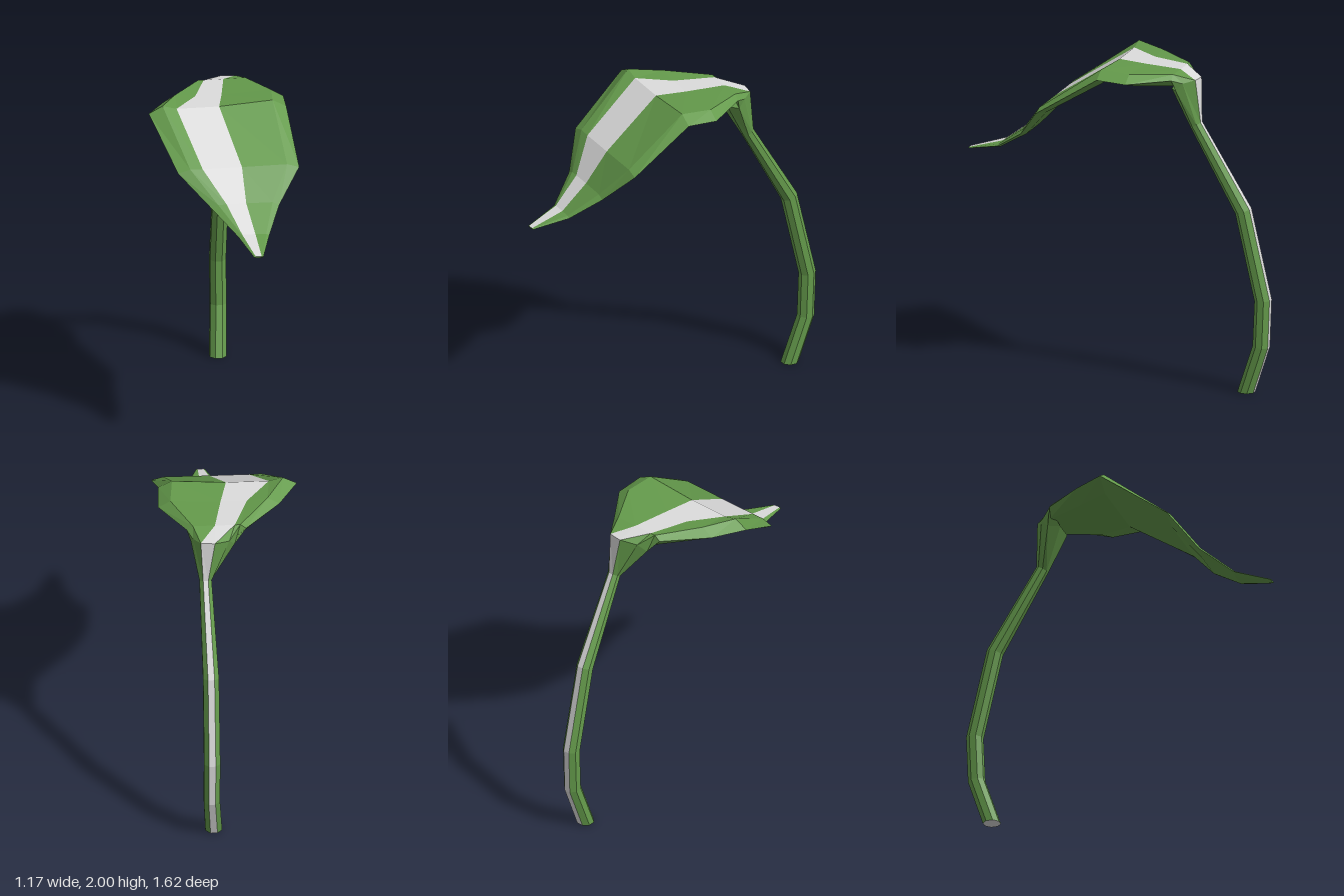
import * as THREE from 'three';

// Across the leaf (to its right) and along the leaf (towards the tip), on the ground plane
const W = [0.83, 0.557], D = [-0.557, 0.83];

// Turns local [across, along, height] triples into points around a centre
function place([x, y, z], pts) {
  return pts.map(([s, t, h]) => new THREE.Vector3(x + s * W[0] + t * D[0], y + h, z + s * W[1] + t * D[1]));
}

// Octagonal stem section; tilt leans the section with the stem
function stemRing(x, y, z, r, tilt) {
  const pts = [];
  for (let k = 0; k < 8; k++) {
    const a = Math.PI * (0.625 - k * 0.25);
    const n = Math.sin(a) * r;
    pts.push([Math.cos(a) * r, -n * Math.cos(tilt), n * Math.sin(tilt)]);
  }
  return place([x, y, z], pts);
}

// Leaf section: rib edges, shoulders, rims and underside
function leafRing(x, y, z, half, ribAt, ribHalf, rib, shoulder, thick) {
  const sh = half * 0.8;
  return place([x, y, z], [
    [ribAt - ribHalf, 0, rib], [ribAt + ribHalf, 0, rib],
    [sh, 0, shoulder], [half, 0, 0],
    [half * 0.6, -thick * 0.5, -thick], [-half * 0.6, -thick * 0.5, -thick],
    [-half, 0, 0], [-sh, 0, shoulder],
  ]);
}

// Joins neighbouring rings along the chosen sides
function loft(rings, sides) {
  const tris = [];
  for (let i = 0; i + 1 < rings.length; i++) {
    for (const k of sides) {
      const m = (k + 1) % 8;
      const a = rings[i][k], b = rings[i][m], c = rings[i + 1][m], d = rings[i + 1][k];
      tris.push(a, d, c, a, c, b);
    }
  }
  return tris;
}

// Closes a ring with a fan
function cap(ring, flip) {
  const tris = [];
  for (let k = 1; k < 7; k++) tris.push(ring[0], ring[flip ? k + 1 : k], ring[flip ? k : k + 1]);
  return tris;
}

export function createModel() {
  const group = new THREE.Group();
  const green = new THREE.MeshStandardMaterial({ name: 'leafGreen', color: 0x649a4b, flatShading: true });
  const pale = new THREE.MeshStandardMaterial({ name: 'paleGrey', color: 0xdcdcdc, flatShading: true });

  const add = (name, tris, material) => {
    const geo = new THREE.BufferGeometry().setFromPoints(tris);
    geo.computeVertexNormals();
    const mesh = new THREE.Mesh(geo, material);
    mesh.name = name;
    group.add(mesh);
  };

  // Flared joint where the stem bends over into the leaf
  const joint = place([0.22, 1.9, -0.35], [
    [-0.01, -0.105, 0.045], [0.075, -0.095, 0.045],
    [0.12, -0.03, 0.03], [0.13, 0.01, -0.02],
    [0.07, 0.06, -0.02], [-0.07, 0.06, -0.02],
    [-0.135, 0, -0.04], [-0.1, -0.05, 0.02],
  ]);

  const stem = [
    stemRing(0.455, 0, -0.675, 0.055, 0),
    stemRing(0.525, 0.3, -0.75, 0.053, -0.1),
    stemRing(0.53, 0.59, -0.76, 0.053, 0.1),
    stemRing(0.46, 1.14, -0.655, 0.052, 0.35),
    stemRing(0.31, 1.66, -0.4, 0.04, 0.5),
    joint,
  ];
  const leaf = [
    joint,
    leafRing(0.18, 1.95, -0.338, 0.18, -0.05, 0.06, 0.028, 0.03, 0.05),
    leafRing(0.025, 1.945, -0.155, 0.367, -0.09, 0.08, 0.03, 0.045, 0.045),
    leafRing(-0.13, 1.953, -0.035, 0.42, -0.12, 0.13, 0.022, 0.045, 0.04),
    leafRing(-0.285, 1.71, 0.325, 0.37, -0.1, 0.12, 0.02, 0.022, 0.03),
    leafRing(-0.35, 1.53, 0.457, 0.207, -0.055, 0.06, 0.022, 0.02, 0.02),
    leafRing(-0.43, 1.41, 0.62, 0.095, -0.03, 0.04, 0.012, 0.01, 0.012),
    leafRing(-0.55, 1.357, 0.797, 0.028, 0, 0.018, 0.005, 0.004, 0.004),
  ];

  const plain = [1, 2, 3, 4, 5, 6, 7];
  add('stem', loft(stem, plain), green);
  add('stemStripe', loft(stem, [0]), pale);
  add('stemCutEnd', cap(stem[0], false), pale);
  add('leafBlade', [...loft(leaf, plain), ...cap(leaf[leaf.length - 1], true)], green);
  add('leafMidrib', loft(leaf, [0]), pale);
  return group;
}
